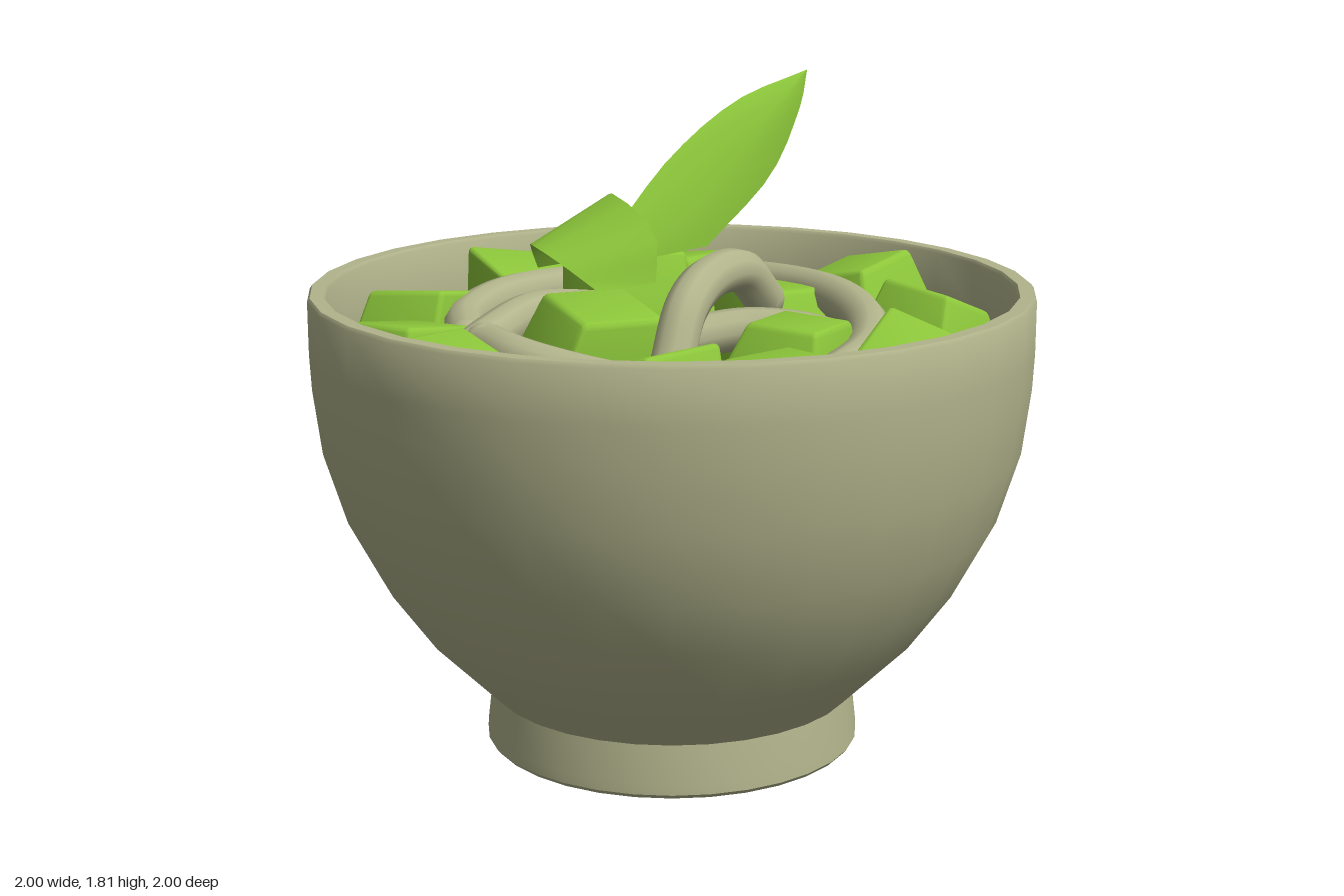
import * as THREE from 'three';
import { toCreasedNormals } from 'three/addons/utils/BufferGeometryUtils.js';
import { RoundedBoxGeometry } from 'three/addons/geometries/RoundedBoxGeometry.js';

const V = (p) => new THREE.Vector3(...p);

// Smooth surface through rows of points; each row is resampled along its length
function ribbon(edges, steps) {
  const curves = edges.map((e) => new THREE.CatmullRomCurve3(e.map(V)));
  const pos = [], idx = [], n = edges.length;
  for (let i = 0; i <= steps; i++) {
    for (const c of curves) pos.push(...c.getPoint(i / steps).toArray());
  }
  for (let i = 0; i < steps; i++) {
    for (let j = 0; j < n - 1; j++) {
      const a = i * n + j, b = a + n;
      idx.push(a, b, a + 1, b, b + 1, a + 1);
    }
  }
  const g = new THREE.BufferGeometry();
  g.setAttribute('position', new THREE.Float32BufferAttribute(pos, 3));
  g.setIndex(idx);
  g.computeVertexNormals();
  return g;
}

export function createModel() {
  const group = new THREE.Group();
  const mat = (name, color, side = THREE.FrontSide) => {
    const m = new THREE.MeshStandardMaterial({ color, side });
    m.name = name;
    return m;
  };
  const clay = mat('pale clay', 0xb2b48c);
  const green = mat('fresh green', 0x8cc63a, THREE.DoubleSide);
  const add = (name, geometry, material, parent = group) => {
    const mesh = new THREE.Mesh(geometry, material);
    mesh.name = name;
    parent.add(mesh);
    return mesh;
  };
  let seed = 11;
  const rand = () => {
    seed = (seed * 16807) % 2147483647;
    return seed / 2147483647 - 0.5;
  };

  // Footed bowl: outer wall, rim and inner wall in one profile
  const profile = [
    [0, 0], [0.52, 0], [0.53, 0.012], [0.528, 0.04], [0.515, 0.15], [0.6, 0.235], [0.7, 0.335],
    [0.82, 0.5], [0.91, 0.67], [0.972, 0.87], [0.995, 1.05], [1, 1.15], [1, 1.295], [0.993, 1.305],
    [0.955, 1.305], [0.948, 1.295], [0.945, 1.15], [0.93, 0.95],
  ].map(([x, y]) => new THREE.Vector2(x, y));
  add('bowl', toCreasedNormals(new THREE.LatheGeometry(profile, 32), 0.75), clay);

  // Broth surface
  const broth = add('broth', new THREE.CircleGeometry(0.938, 32), clay);
  broth.rotation.x = -Math.PI / 2;
  broth.position.y = 1.03;

  // Irregular vegetable chunks: x, y, z, yaw, size
  const chunks = new THREE.Group();
  chunks.name = 'chunks';
  group.add(chunks);
  [
    [-0.16, 1.1, -0.71, 0.2, 0.3], [0.31, 1.11, -0.65, 0.6, 0.31], [-0.58, 1.11, -0.48, 0.7, 0.28],
    [-0.73, 1.1, -0.12, 0.5, 0.27], [-0.7, 1.11, 0.31, 0.3, 0.29], [-0.34, 1.1, 0.64, 0.5, 0.31],
    [0.02, 1.1, 0.75, 0.3, 0.3], [0.43, 1.1, 0.6, 0.7, 0.3], [0.7, 1.12, 0.21, 0.4, 0.29],
    [0.69, 1.13, -0.21, 0.4, 0.31], [-0.28, 1.15, 0.13, 0.05, 0.32], [0.2, 1.12, 0.35, 0.65, 0.28],
    [0.02, 1.19, -0.4, 0.15, 0.28], [0.38, 1.13, -0.12, 0.3, 0.26],
  ].forEach(([x, y, z, yaw, s]) => {
    const g = new RoundedBoxGeometry(s, s * 0.95, s, 2, s * 0.06);
    const p = g.attributes.position;
    const [ax, az, kx, kz] = [rand(), rand(), rand(), rand()];
    // Taper upward and skew so no two chunks match
    for (let i = 0; i < p.count; i++) {
      const [px, py, pz] = [p.getX(i), p.getY(i), p.getZ(i)];
      const t = py / s;
      p.setXYZ(i, px * (1 - (0.3 + 0.5 * ax) * t) + kx * 0.4 * py,
        py + (px * kz + pz * kx) * 0.35, pz * (1 - (0.3 + 0.5 * az) * t) + kz * 0.4 * py);
    }
    const chunk = add('chunk', toCreasedNormals(g, 0.5), green, chunks);
    chunk.position.set(x, y, z);
    chunk.rotation.set(rand() * 0.6, yaw, rand() * 0.6);
  });

  // Thick noodles with rounded ends
  const noodles = new THREE.Group();
  noodles.name = 'noodles';
  group.add(noodles);
  [
    [[-0.16, 1.15, 0.37], [-0.08, 1.3, 0.29], [0.04, 1.355, 0.18], [0.17, 1.345, 0.09], [0.27, 1.25, 0.02]],
    [[-0.57, 1.2, 0.08], [-0.53, 1.19, 0.24], [-0.4, 1.16, 0.38], [-0.24, 1.13, 0.47], [-0.07, 1.11, 0.53]],
    [[0.21, 1.14, 0.57], [0.37, 1.17, 0.45], [0.48, 1.2, 0.25], [0.52, 1.22, 0.02], [0.5, 1.22, -0.22],
      [0.42, 1.21, -0.42], [0.3, 1.19, -0.52]],
    [[-0.54, 1.16, -0.17], [-0.48, 1.18, -0.35], [-0.3, 1.2, -0.52], [-0.05, 1.2, -0.59],
      [0.12, 1.18, -0.59], [0.24, 1.15, -0.57]],
    [[-0.64, 1.14, 0.03], [-0.5, 1.19, -0.07], [-0.33, 1.22, -0.18], [-0.12, 1.2, -0.2]],
    [[-0.03, 1.16, 0.07], [0.18, 1.18, 0.08], [0.32, 1.17, 0.13], [0.46, 1.13, 0.15]],
  ].forEach((pts) => {
    const curve = new THREE.CatmullRomCurve3(pts.map(V));
    const noodle = new THREE.Group();
    noodle.name = 'noodle';
    noodles.add(noodle);
    add('strand', new THREE.TubeGeometry(curve, 28, 0.06, 10), clay, noodle);
    for (const t of [0, 1]) {
      add('strandEnd', new THREE.SphereGeometry(0.06, 10, 8), clay, noodle).position.copy(curve.getPoint(t));
    }
  });

  // Long pointed leaf, folded along its middle
  const tip = [0.68, 1.81, -0.57];
  add('leaf', ribbon([
    [[0.07, 1.42, 0.08], [0.3, 1.58, -0.02], [0.5, 1.73, -0.25], tip],
    [[-0.05, 1.36, -0.1], [0.22, 1.54, -0.2], [0.46, 1.71, -0.37], tip],
    [[-0.09, 1.41, -0.23], [0.15, 1.6, -0.37], [0.4, 1.74, -0.47], tip],
  ], 10), green);

  // Short leaf curling over at the base
  add('curledLeaf', ribbon([
    [[-0.22, 1.3, 0.01], [-0.3, 1.37, -0.06], [-0.33, 1.4, -0.2], [-0.3, 1.38, -0.32], [-0.25, 1.3, -0.4]],
    [[-0.06, 1.32, 0.03], [-0.05, 1.45, 0.0], [-0.11, 1.54, -0.17], [-0.07, 1.48, -0.3], [-0.08, 1.32, -0.38]],
  ], 10), green);

  return group;
}
